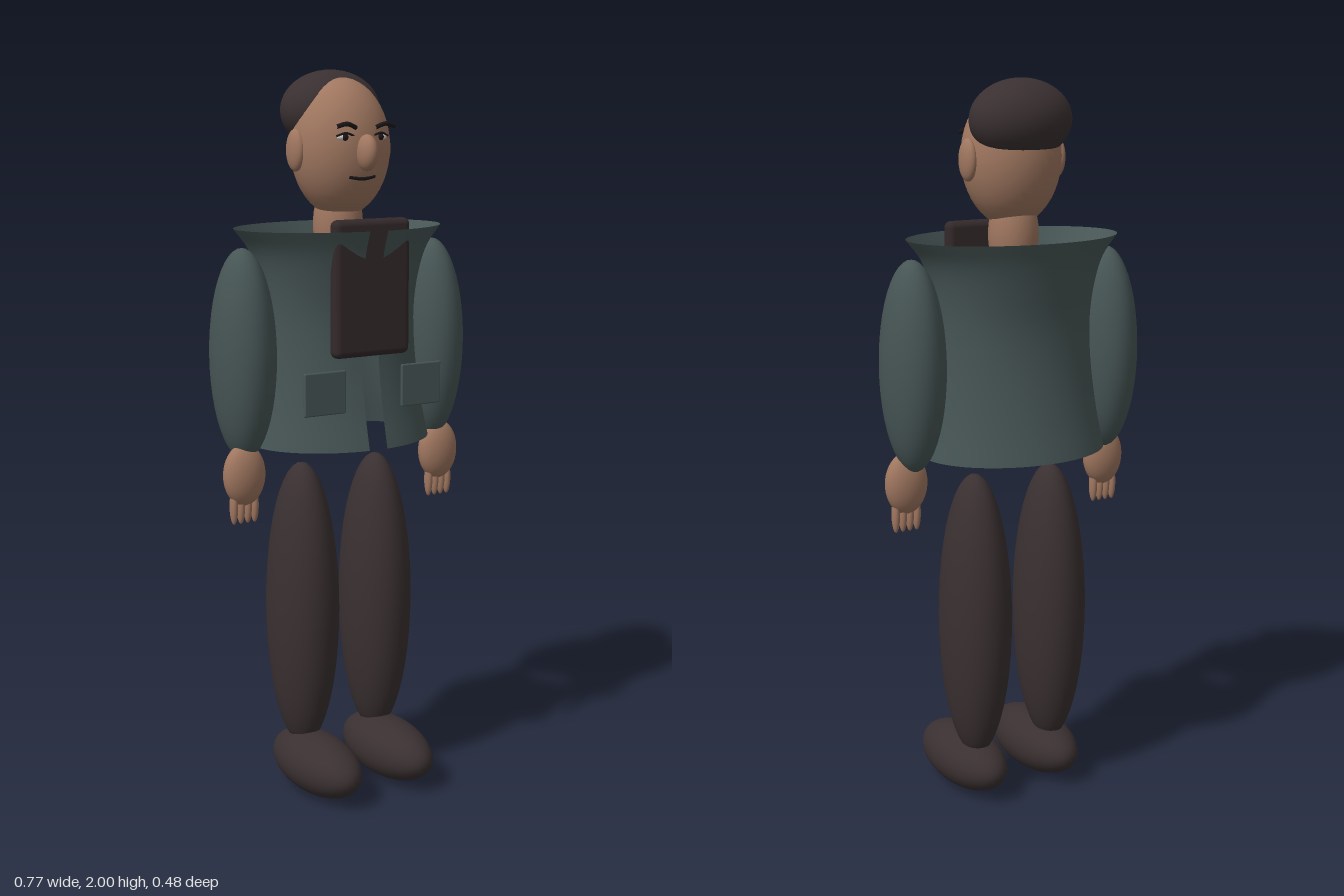
import * as THREE from 'three';
import { RoundedBoxGeometry } from 'three/addons/geometries/RoundedBoxGeometry.js';

const mat = (name, color, side = THREE.FrontSide) => {
  const m = new THREE.MeshStandardMaterial({ color, side });
  m.name = name;
  return m;
};

export function createModel() {
  const model = new THREE.Group();
  model.name = 'figure';
  const skin = mat('skin', 0xa07760);
  const dark = mat('dark brown', 0x3a3031);
  const panel = mat('panel brown', 0x33292a);
  const green = mat('jacket green', 0x475555, THREE.DoubleSide);
  const ink = mat('ink', 0x1c1718);
  const white = mat('eye white', 0xd6cdc4);

  const add = (name, geometry, material, pos = [0, 0, 0]) => {
    const mesh = new THREE.Mesh(geometry, material);
    mesh.name = name;
    mesh.position.set(...pos);
    model.add(mesh);
    return mesh;
  };
  const ball = (name, material, pos, radii) =>
    add(name, new THREE.SphereGeometry(1, 36, 24).scale(...radii), material, pos);
  const line = (name, points, radius) => add(name, new THREE.TubeGeometry(
    new THREE.CatmullRomCurve3(points.map(p => new THREE.Vector3(...p))), 12, radius, 8), ink);

  // Head
  ball('head', skin, [0, 1.795, -0.02], [0.137, 0.185, 0.127]);
  ball('hair', dark, [0, 1.893, -0.07], [0.145, 0.107, 0.106]);
  ball('neck', skin, [0, 1.59, -0.032], [0.068, 0.13, 0.068]);
  ball('nose', skin, [0, 1.785, 0.115], [0.026, 0.048, 0.038]);
  line('mouth', [[-0.04, 1.722, 0.088], [0, 1.717, 0.095], [0.04, 1.722, 0.088]], 0.005);

  for (const [side, s] of [['left', 1], ['right', -1]]) {
    // Face details
    ball(side + 'Ear', skin, [s * 0.135, 1.79, -0.027], [0.02, 0.056, 0.037]);
    ball(side + 'Eye', white, [s * 0.055, 1.825, 0.089], [0.022, 0.009, 0.009]);
    ball(side + 'Pupil', ink, [s * 0.055, 1.825, 0.095], [0.009, 0.009, 0.006]);
    line(side + 'Eyelid', [[s * 0.03, 1.829, 0.098], [s * 0.055, 1.836, 0.098],
      [s * 0.08, 1.828, 0.09]], 0.003);
    line(side + 'Eyebrow', [[s * 0.03, 1.85, 0.108], [s * 0.06, 1.86, 0.112],
      [s * 0.09, 1.853, 0.108]], 0.006);

    // Sleeve and hand
    ball(side + 'Sleeve', green, [s * 0.302, 1.255, -0.023], [0.085, 0.285, 0.107]);
    ball(side + 'Hand', skin, [s * 0.315, 0.935, 0], [0.061, 0.085, 0.04]);
    for (let i = 0; i < 4; i++) {
      ball(side + 'Finger', skin, [s * (0.285 + i * 0.021), 0.85, 0], [0.011, 0.05, 0.014]);
    }

    // Leg and shoe
    ball(side + 'Leg', dark, [s * 0.12, 0.53, -0.028], [0.097, 0.412, 0.119]);
    ball(side + 'Shoe', dark, [s * 0.118, 0.088, 0.045], [0.092, 0.084, 0.192]);

    // Jacket pocket
    add(side + 'Pocket', new RoundedBoxGeometry(0.127, 0.116, 0.01, 2, 0.004), green,
      [s * 0.152, 1.163, 0.15]);
  }

  // Open jacket: flared oval sections with a gap down the front
  const sections = [[1.0, 0.265, 0.208], [1.1, 0.245, 0.185], [1.24, 0.228, 0.163],
    [1.36, 0.225, 0.158], [1.46, 0.238, 0.172], [1.53, 0.262, 0.188], [1.585, 0.305, 0.207]];
  const curve = new THREE.CatmullRomCurve3(sections.map(([y, rx, rz]) => new THREE.Vector3(rx, y, rz)));
  const jacket = new THREE.PlaneGeometry(1, 1, 64, 24);
  const p = jacket.attributes.position, v = new THREE.Vector3();
  for (let i = 0; i < p.count; i++) {
    curve.getPoint(p.getY(i) + 0.5, v);
    const gap = Math.asin(0.028 / v.x);
    const a = Math.PI + p.getX(i) * 2 * (Math.PI - gap);
    p.setXYZ(i, Math.sin(a) * v.x, v.y, -0.03 + Math.cos(a) * v.z);
  }
  jacket.computeVertexNormals();
  add('jacket', jacket, green);

  // Chest panel
  add('chestPanel', new RoundedBoxGeometry(0.236, 0.365, 0.042, 4, 0.018), panel, [0, 1.432, 0.131]);

  return model;
}
